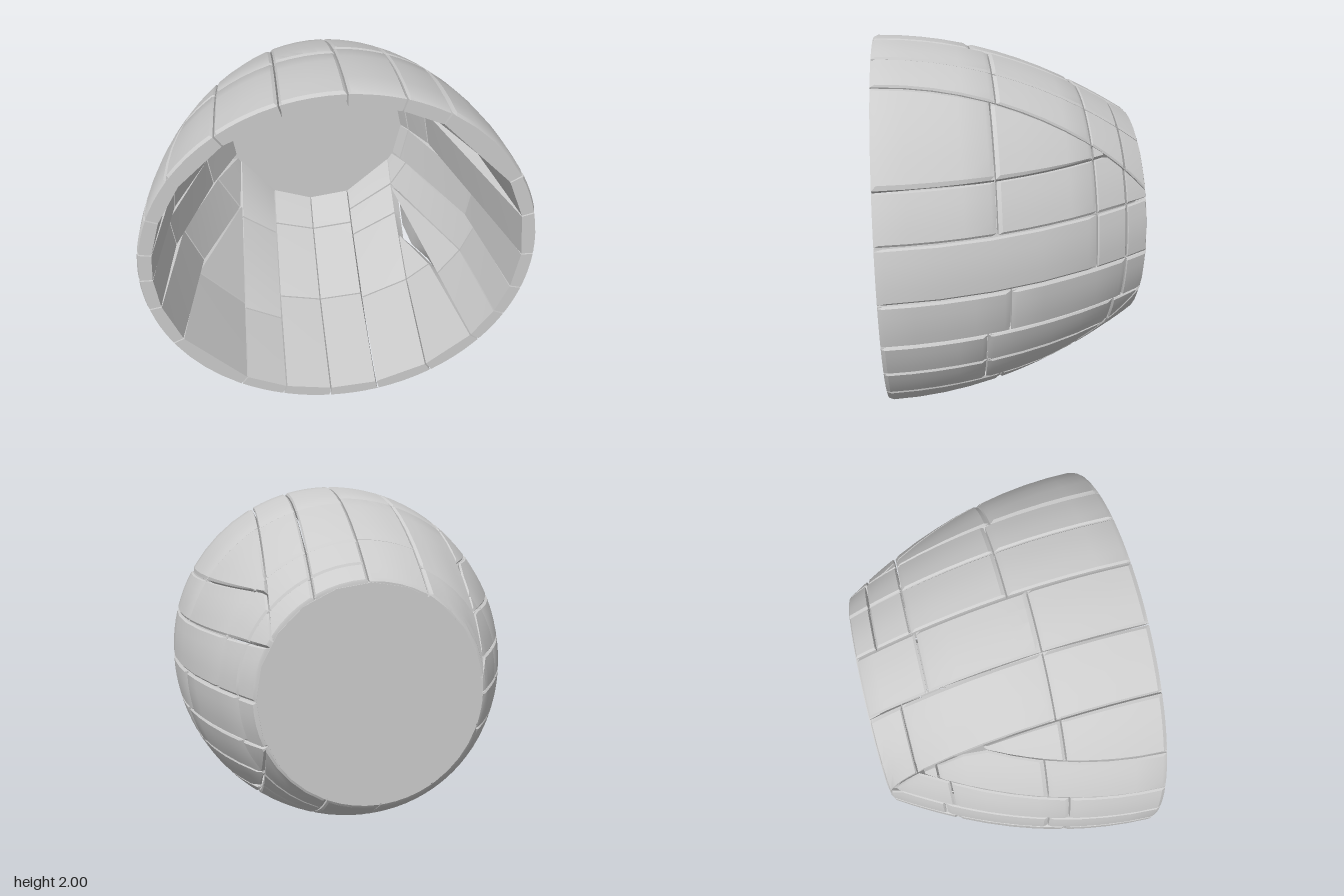
import * as THREE from 'three';
import { toCreasedNormals } from 'three/addons/utils/BufferGeometryUtils.js';

const FRONT = 0.674, BACK = -0.67, THICK = 0.07, GAP = 0.004, CHAMFER = 0.009;
const material = new THREE.MeshStandardMaterial({ color: 0xcccccc });

// Parabolic outer radius of the bowl along its z axis
const radius = z => 1 - 0.235 * (FRONT - z) ** 2;
const clamp = THREE.MathUtils.clamp, lerp = THREE.MathUtils.lerp;
const unit = v => clamp(v, -1, 1);
const point = (r, a, z) => new THREE.Vector3(r * Math.cos(a), 1 + r * Math.sin(a), z);

// Where the side plating meets the upper and lower plating
const EDGE = { upLeft: 0.49, upRight: -0.57, lowLeft: 0.53, lowRight: -0.55 };

// Seams are planar cuts through the bowl, given as an angle for each radius
const seam = {
  top: c => r => Math.acos(unit(c / r)),
  bottom: c => r => -Math.acos(unit(c / r)),
  left: c => r => clamp(Math.asin(unit((c - 1) / r)),
    -Math.acos(unit(EDGE.lowLeft / r)), Math.acos(unit(EDGE.upLeft / r))),
  right: c => r => clamp(Math.PI - Math.asin(unit((c - 1) / r)),
    Math.acos(unit(EDGE.upRight / r)), 2 * Math.PI - Math.acos(unit(EDGE.lowRight / r))),
};

// One thick plate: curved and chamfered outside, plain four-cornered inside
function plateGeometry(lo, hi, z0, z1) {
  const steps = [0, 0.04, 0.27, 0.5, 0.73, 0.96, 1], n = steps.length - 1;
  const angle = (z, u) => {
    const r = radius(z), g = GAP / r;
    return lerp(lo(r) + g, hi(r) - g, u);
  };
  const corner = (z, u) => point(radius(z) - THICK, angle(z, u), z);
  const c = [corner(z0, 0), corner(z0, 1), corner(z1, 0), corner(z1, 1)];
  const outer = [], inner = [];
  steps.forEach((u, i) => {
    outer.push([]);
    inner.push([]);
    steps.forEach((v, j) => {
      const z = lerp(z0, z1, v);
      const drop = i % n === 0 || j % n === 0 ? CHAMFER : 0;
      outer[i].push(point(radius(z) - drop, angle(z, u), z));
      inner[i].push(c[0].clone().lerp(c[1], u).lerp(c[2].clone().lerp(c[3], u), v));
    });
  });

  const pos = [];
  const tri = (...pts) => pts.forEach(p => pos.push(p.x, p.y, p.z));
  const quad = (a, b, d, e) => { tri(a, b, d); tri(a, d, e); };
  for (let i = 0; i < n; i++) {
    for (let j = 0; j < n; j++) {
      quad(outer[i][j], outer[i][j + 1], outer[i + 1][j + 1], outer[i + 1][j]);
      quad(inner[i][j], inner[i + 1][j], inner[i + 1][j + 1], inner[i][j + 1]);
    }
  }
  // Walls around the plate
  const rim = [];
  for (let k = 0; k < n; k++) rim.push([0, k]);
  for (let k = 0; k < n; k++) rim.push([k, n]);
  for (let k = n; k > 0; k--) rim.push([n, k]);
  for (let k = n; k > 0; k--) rim.push([k, 0]);
  rim.forEach(([i, j], k) => {
    const [p, q] = rim[(k + 1) % rim.length];
    quad(outer[p][q], outer[i][j], inner[i][j], inner[p][q]);
  });
  const geo = new THREE.BufferGeometry();
  geo.setAttribute('position', new THREE.Float32BufferAttribute(pos, 3));
  return toCreasedNormals(geo, 0.45);
}

// A strip of plates between two seams, cut across at the given depths
function addStrip(group, name, lo, hi, cuts) {
  const width = z => (hi(radius(z)) - lo(radius(z))) * radius(z);
  const depths = [FRONT, ...cuts, BACK];
  for (let k = 0; k < depths.length - 1; k++) {
    const g0 = k ? GAP : 0, g1 = k < depths.length - 2 ? GAP : 0;
    const z0 = depths[k] - g0;
    let z1 = depths[k + 1] + g1;
    if (width(z0) < 0.03) continue;
    while (width(z1) < 0.016 && z1 < z0) z1 += 0.005; // strip runs to a point
    if (z0 - z1 < 0.02) continue;
    const mesh = new THREE.Mesh(plateGeometry(lo, hi, z0, z1), material);
    mesh.name = name;
    group.add(mesh);
  }
}

// Seam positions across each side, and the depths where each strip is cut
const PLATING = [
  { side: 'top', name: 'upperPlate', at: [0.49, 0.285, 0.02, -0.28, -0.57],
    cuts: [[0.09, -0.38, -0.56], [0.09, -0.38, -0.56], [0.18, -0.36], [0.18, -0.5]] },
  { side: 'bottom', name: 'lowerPlate', at: [-0.55, -0.32, -0.05, 0.23, 0.53],
    cuts: [[0.2, -0.36], [0.05, -0.42], [0.05, -0.42], [0.08, -0.34, -0.5]] },
  { side: 'left', name: 'leftPlate', at: [0, 0.38, 0.57, 0.76, 1, 1.27, 1.5, 2],
    cuts: [[0.08], [0.17], [0.17, -0.5], [0.06, -0.55], [-0.38, -0.55],
      [0.12, -0.38, -0.55], [0.12, -0.38]] },
  { side: 'right', name: 'rightPlate', at: [2, 1.6, 1.38, 1.17, 1, 0.8, 0.54, 0],
    cuts: [[0.2], [0.1, -0.4], [0.2, -0.35], [0.1, -0.4], [0.2, -0.35],
      [0.07, -0.4], [0.17]] },
];

export function createModel() {
  const model = new THREE.Group();
  model.name = 'platedBowl';

  for (const { side, name, at, cuts } of PLATING) {
    const group = new THREE.Group();
    group.name = name + 's';
    cuts.forEach((c, i) => addStrip(group, name, seam[side](at[i]), seam[side](at[i + 1]), c));
    model.add(group);
  }

  // Flat closed end of the bowl
  const disc = new THREE.CylinderGeometry(0.57, 0.562, 0.06, 20);
  disc.rotateX(Math.PI / 2);
  const base = new THREE.Mesh(toCreasedNormals(disc, 0.5), material);
  base.name = 'backDisc';
  base.position.set(0, 1, -0.644);
  model.add(base);

  return model;
}
